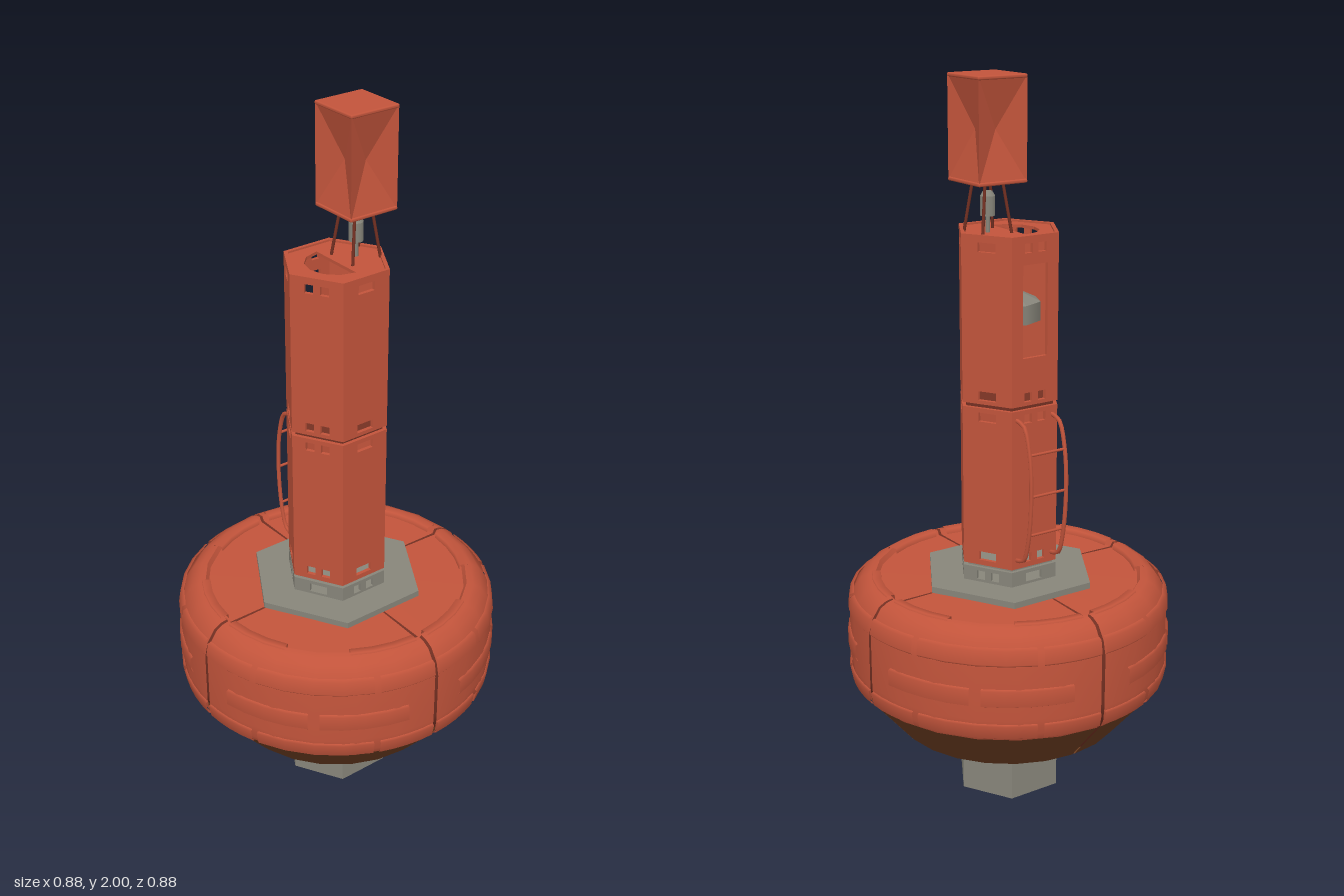
import * as THREE from 'three';
import { RoundedBoxGeometry } from 'three/addons/geometries/RoundedBoxGeometry.js';

const red = new THREE.MeshStandardMaterial({ name: 'buoy red', color: 0xc2543b, side: THREE.DoubleSide });
const brown = new THREE.MeshStandardMaterial({ name: 'antifouling brown', color: 0x6b3c20, side: THREE.DoubleSide });
const grey = new THREE.MeshStandardMaterial({ name: 'bare metal grey', color: 0x87857a, side: THREE.DoubleSide });
const darkRed = new THREE.MeshStandardMaterial({ name: 'seam dark red', color: 0x743022, side: THREE.DoubleSide });

const V = (x, y, z) => new THREE.Vector3(x, y, z);

function add(parent, name, geometry, material, x = 0, y = 0, z = 0) {
  const mesh = new THREE.Mesh(geometry, material);
  mesh.name = name;
  mesh.position.set(x, y, z);
  parent.add(mesh);
  return mesh;
}

// Hexagonal prism with corners on the z axis, spanning y0..y1
function hex(parent, name, r, y0, y1, material) {
  const g = new THREE.CylinderGeometry(r, r, y1 - y0, 6).toNonIndexed();
  g.computeVertexNormals();
  return add(parent, name, g, material, 0, (y0 + y1) / 2, 0);
}

function lathe(parent, name, points, material, start = 0, length = Math.PI * 2, segments = 24) {
  const pts = points.map(([r, y]) => new THREE.Vector2(r, y));
  return add(parent, name, new THREE.LatheGeometry(pts, segments, start, length), material);
}

function rod(parent, name, points, radius, material, segments = 1) {
  const curve = points.length > 2 ? new THREE.CatmullRomCurve3(points) : new THREE.LineCurve3(...points);
  return add(parent, name, new THREE.TubeGeometry(curve, segments, radius, 6), material);
}

function rectPath(cx, cy, w, h) {
  const p = new THREE.Path();
  p.moveTo(cx - w / 2, cy - h / 2).lineTo(cx - w / 2, cy + h / 2);
  p.lineTo(cx + w / 2, cy + h / 2).lineTo(cx + w / 2, cy - h / 2).closePath();
  return p;
}

// Hollow hexagonal ring of six wall panels, alternately with one wide or two small slots
function panelRing(parent, name, R, y0, y1, slotYs, parity, material, hatchFace = -1) {
  const ring = new THREE.Group();
  ring.name = name;
  parent.add(ring);
  const depth = 0.01;
  for (let k = 0; k < 6; k++) {
    const s = new THREE.Shape();
    s.moveTo(-R / 2, y0).lineTo(R / 2, y0).lineTo(R / 2, y1).lineTo(-R / 2, y1).closePath();
    for (const y of slotYs) {
      if (k % 2 === parity) s.holes.push(rectPath(-0.021, y, 0.024, 0.024), rectPath(0.021, y, 0.024, 0.024));
      else s.holes.push(rectPath(0, y, 0.05, 0.024));
    }
    if (k === hatchFace) s.holes.push(rectPath(0, 1.42, 0.075, 0.24));
    const g = new THREE.ExtrudeGeometry(s, { depth, bevelEnabled: false });
    g.translate(0, 0, R * Math.cos(Math.PI / 6) - depth);
    g.rotateY(Math.PI / 6 + k * Math.PI / 3);
    add(ring, 'wallPanel', g, material);
  }
}

function createFloat(parent) {
  const float = new THREE.Group();
  float.name = 'float';
  parent.add(float);
  // Dark core seen in the seams between the four quarters
  lathe(float, 'floatCore', [[0, 0.25], [0.3, 0.255], [0.41, 0.385], [0.425, 0.44], [0.425, 0.59], [0.39, 0.655], [0, 0.655]], darkRed);
  const gap = 0.012;
  const side = [[0.418, 0.378], [0.43, 0.4], [0.434, 0.44], [0.434, 0.585], [0.425, 0.625], [0.402, 0.66], [0.38, 0.672], [0.362, 0.675]];
  // Raised rubbing strips: profile and the spans within each quarter
  const ends = [[0.016, 0.38], [0.42, 1.15], [1.19, 1.555]];
  const strips = [
    { p: [[0.422, 0.637], [0.432, 0.632], [0.438, 0.596], [0.433, 0.59]], spans: ends },
    { p: [[0.433, 0.528], [0.44, 0.524], [0.44, 0.482], [0.433, 0.478]], spans: [[0.2, 0.75], [0.82, 1.37]] },
    { p: [[0.433, 0.43], [0.439, 0.426], [0.432, 0.39], [0.422, 0.384]], spans: ends },
  ];
  for (let q = 0; q < 4; q++) {
    const a = q * Math.PI / 2, len = Math.PI / 2 - 2 * gap;
    lathe(float, 'floatSide', side, red, a + gap, len, 6);
    lathe(float, 'floatRim', [[0.362, 0.675], [0.354, 0.662]], red, a + gap, len, 6);
    lathe(float, 'floatDeck', [[0.354, 0.662], [0, 0.668]], red, a + gap, len, 6);
    lathe(float, 'floatHull', [[0.31, 0.25], [0.418, 0.378]], brown, a + gap, len, 6);
    lathe(float, 'floatBottom', [[0, 0.242], [0.31, 0.25]], brown, a + gap, len, 6);
    for (const { p, spans } of strips) {
      for (const [s, e] of spans) lathe(float, 'rubbingStrip', [...p].reverse(), red, a + s, e - s, 4);
    }
    // Raised lips around the deck edge
    for (const [s, e] of [[0.05, 0.55], [1.02, 1.52]]) {
      lathe(float, 'deckLip', [[0.372, 0.67], [0.37, 0.679], [0.348, 0.677], [0.346, 0.662]], red, a + s, e - s, 3);
    }
  }
}

function createTower(parent) {
  const tower = new THREE.Group();
  tower.name = 'tower';
  parent.add(tower);
  const R = 0.142;
  panelRing(tower, 'collar', R, 0.68, 0.722, [0.7], 1, grey);
  hex(tower, 'collarCap', 0.128, 0.718, 0.734, grey);
  panelRing(tower, 'lowerModule', R, 0.73, 1.164, [0.756, 1.14], 0, red);
  hex(tower, 'moduleJoint', 0.13, 1.16, 1.18, darkRed);
  panelRing(tower, 'upperModule', R, 1.175, 1.613, [1.197, 1.582], 0, red, 4);

  // Lid with a half-round opening at the front
  const lid = new THREE.Shape();
  for (let k = 0; k < 6; k++) {
    const a = Math.PI / 2 + k * Math.PI / 3;
    lid[k ? 'lineTo' : 'moveTo'](0.132 * Math.cos(a), 0.132 * Math.sin(a));
  }
  lid.closePath();
  const opening = new THREE.Path();
  opening.moveTo(-0.08, 0);
  for (let k = 1; k <= 6; k++) {
    const a = Math.PI + k * Math.PI / 6;
    opening.lineTo(0.08 * Math.cos(a), 0.08 * Math.sin(a));
  }
  opening.closePath();
  lid.holes.push(opening);
  const g = new THREE.ExtrudeGeometry(lid, { depth: 0.008, bevelEnabled: false });
  add(tower, 'lid', g.rotateX(-Math.PI / 2), red, 0, 1.6, 0);

  // Equipment inside the upper module
  add(tower, 'equipmentDrum', new THREE.CylinderGeometry(0.085, 0.085, 0.05, 8), grey, 0, 1.4, 0);
  const dome = new THREE.ConeGeometry(0.085, 0.04, 8).toNonIndexed();
  dome.computeVertexNormals();
  add(tower, 'equipmentDome', dome, grey, 0, 1.445, 0);
}

// Curved climbing ladder on the model's right
function createLadder(parent) {
  const ladder = new THREE.Group();
  ladder.name = 'ladder';
  parent.add(ladder);
  for (const z of [-0.055, 0.055]) {
    const pts = [[-0.12, 0.755], [-0.155, 0.765], [-0.175, 0.82], [-0.188, 0.95], [-0.18, 1.06], [-0.155, 1.13], [-0.12, 1.14]];
    rod(ladder, 'ladderRail', pts.map(([x, y]) => V(x, y, z)), 0.006, red, 24);
  }
  for (const [x, y] of [[-0.176, 0.84], [-0.187, 0.95], [-0.18, 1.06]]) {
    rod(ladder, 'ladderRung', [V(x, y, -0.055), V(x, y, 0.055)], 0.004, red);
  }
}

function createTopmark(parent) {
  const top = new THREE.Group();
  top.name = 'topmark';
  top.position.z = -0.062;
  parent.add(top);
  const w = 0.071, y0 = 1.737, y1 = 1.998, mid = (y0 + y1) / 2;
  // Four sides, each sunk to a point in the middle
  const c = [V(-w, y0, w), V(w, y0, w), V(w, y1, w), V(-w, y1, w)];
  const pts = c.flatMap((p, i) => [p, c[(i + 1) % 4], V(0, mid, w - 0.035)]);
  for (let k = 0; k < 4; k++) {
    const g = new THREE.BufferGeometry().setFromPoints(pts);
    g.computeVertexNormals();
    add(top, 'reflectorSide', g.rotateY(k * Math.PI / 2), red);
  }
  for (const y of [y0 + 0.003, y1 - 0.003]) {
    add(top, 'reflectorPlate', new RoundedBoxGeometry(0.145, 0.01, 0.145, 2, 0.004), red, 0, y, 0);
  }
  // Lamp and legs
  add(top, 'lamp', new THREE.CylinderGeometry(0.019, 0.019, 0.05, 12), grey, 0, 1.675, 0);
  add(top, 'lampCap', new THREE.CylinderGeometry(0.012, 0.019, 0.012, 12), grey, 0, 1.706, 0);
  add(top, 'lampStem', new THREE.CylinderGeometry(0.006, 0.006, 0.05, 8), grey, 0, 1.627, 0);
  for (const x of [-1, 1]) for (const z of [-1, 1]) {
    rod(top, 'topmarkLeg', [V(x * 0.044, 1.604, z * 0.044), V(x * 0.028, 1.74, z * 0.026)], 0.004, darkRed);
  }
}

export function createModel() {
  const model = new THREE.Group();
  model.name = 'buoy';
  createFloat(model);
  hex(model, 'topFlange', 0.243, 0.664, 0.681, grey);
  hex(model, 'bottomFlange', 0.243, 0.236, 0.25, grey);
  hex(model, 'ballast', 0.15, 0.052, 0.245, grey);
  // Mooring eye
  const eye = [V(-0.024, 0.06, 0), V(-0.025, 0.035, 0), V(-0.018, 0.015, 0), V(0, 0.008, 0), V(0.018, 0.015, 0), V(0.025, 0.035, 0), V(0.024, 0.06, 0)];
  rod(model, 'mooringEye', eye, 0.008, grey, 20);
  createTower(model);
  createLadder(model);
  createTopmark(model);
  return model;
}
